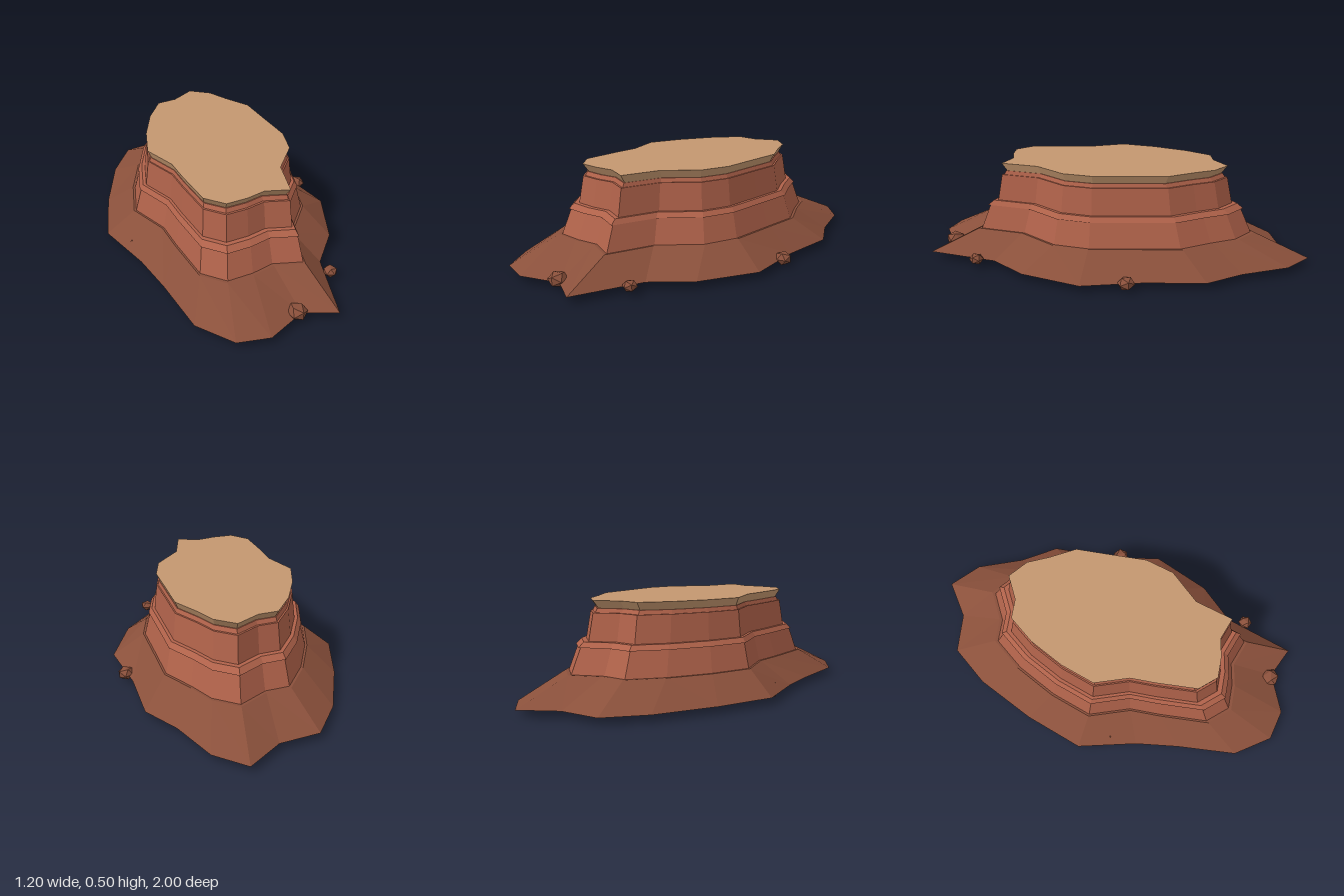
import * as THREE from 'three';

const mat = (name, color) => {
  const m = new THREE.MeshStandardMaterial({ color, flatShading: true });
  m.name = name;
  return m;
};

// Plan outlines [x, z], clockwise seen from above, starting at the back
const CAP = [
  [-0.005, -0.57], [0.10, -0.515], [0.17, -0.42], [0.265, -0.31], [0.30, -0.15],
  [0.345, 0.05], [0.33, 0.20], [0.225, 0.365], [0.205, 0.565], [0.085, 0.545],
  [-0.005, 0.58], [-0.11, 0.60], [-0.20, 0.53], [-0.25, 0.33], [-0.275, 0.205],
  [-0.365, 0.05], [-0.34, -0.13], [-0.285, -0.315], [-0.21, -0.46], [-0.11, -0.485],
];
const SKIRT = [
  [-0.01, -1.0], [0.15, -0.90], [0.285, -0.685], [0.43, -0.53], [0.49, -0.24],
  [0.595, 0.05], [0.52, 0.36], [0.39, 0.555], [0.34, 0.925], [0.17, 0.88],
  [-0.01, 0.995], [-0.17, 0.985], [-0.32, 0.835], [-0.40, 0.54], [-0.47, 0.33],
  [-0.60, 0.05], [-0.555, -0.26], [-0.47, -0.58], [-0.36, -0.79], [-0.16, -0.85],
];
const CENTRE_Z = 0.05;

// One horizontal ring: an outline scaled about the centre at height y
const ring = (outline, y, s = 1) =>
  outline.map(([x, z]) => [x * s, y, CENTRE_Z + (z - CENTRE_Z) * s]);

// Skin a stack of rings from bottom to top, optionally closing the ends
function loft(name, rings, material, closeBottom = false, closeTop = false) {
  const pos = [];
  const n = rings[0].length;
  for (let i = 0; i < n; i++) {
    const j = (i + 1) % n;
    for (let k = 0; k < rings.length - 1; k++) {
      const [a, b, c, d] = [rings[k][i], rings[k][j], rings[k + 1][j], rings[k + 1][i]];
      pos.push(...a, ...d, ...c, ...a, ...c, ...b);
    }
    const low = rings[0], high = rings[rings.length - 1];
    if (closeBottom) pos.push(0, low[0][1], CENTRE_Z, ...low[i], ...low[j]);
    if (closeTop) pos.push(0, high[0][1], CENTRE_Z, ...high[j], ...high[i]);
  }
  const geo = new THREE.BufferGeometry();
  geo.setAttribute('position', new THREE.Float32BufferAttribute(pos, 3));
  geo.computeVertexNormals();
  const mesh = new THREE.Mesh(geo, material);
  mesh.name = name;
  return mesh;
}

export function createModel() {
  const group = new THREE.Group();
  group.name = 'mesa';
  const scree = mat('dark scree', 0x8a503b);
  const cliff = mat('red rock', 0xb0624a);
  const sand = mat('sandy cap', 0xc4976f);

  // Sloping foot of fallen scree
  group.add(loft('screeSkirt', [ring(SKIRT, 0.035), ring(CAP, 0.155, 1.24)], scree, true, true));

  // Two cliff tiers, each topped by a thin ledge
  group.add(loft('lowerCliff', [ring(CAP, 0.155, 1.21), ring(CAP, 0.28, 1.12)], cliff, false, true));
  group.add(loft('lowerLedge', [ring(CAP, 0.28, 1.14), ring(CAP, 0.305, 1.09)], cliff, true, true));
  group.add(loft('upperCliff', [ring(CAP, 0.305, 1.045), ring(CAP, 0.44, 1.0)], cliff, false, true));
  group.add(loft('upperLedge', [ring(CAP, 0.44, 0.98), ring(CAP, 0.46, 0.96)], cliff, true, true));

  // Flat overhanging cap
  group.add(loft('capRock', [ring(CAP, 0.46, 0.95), ring(CAP, 0.5)], sand, true, true));

  // Boulders around the foot: x, y, z, radius, turn
  const boulders = [
    [0.15, 0.046, 0.875, 0.05, 0.4],
    [0.405, 0.045, 0.645, 0.037, 1.3],
    [0.525, 0.04, -0.16, 0.044, 2.1],
    [-0.475, 0.036, 0.17, 0.054, 0.9],
    [0.02, 0.037, -0.78, 0.046, 2.8],
  ];
  boulders.forEach(([x, y, z, r, turn], i) => {
    const rock = new THREE.Mesh(new THREE.IcosahedronGeometry(r, 0), scree);
    rock.name = `boulder${i + 1}`;
    rock.position.set(x, y, z);
    rock.rotation.y = turn;
    rock.scale.y = 0.78;
    group.add(rock);
  });
  return group;
}
